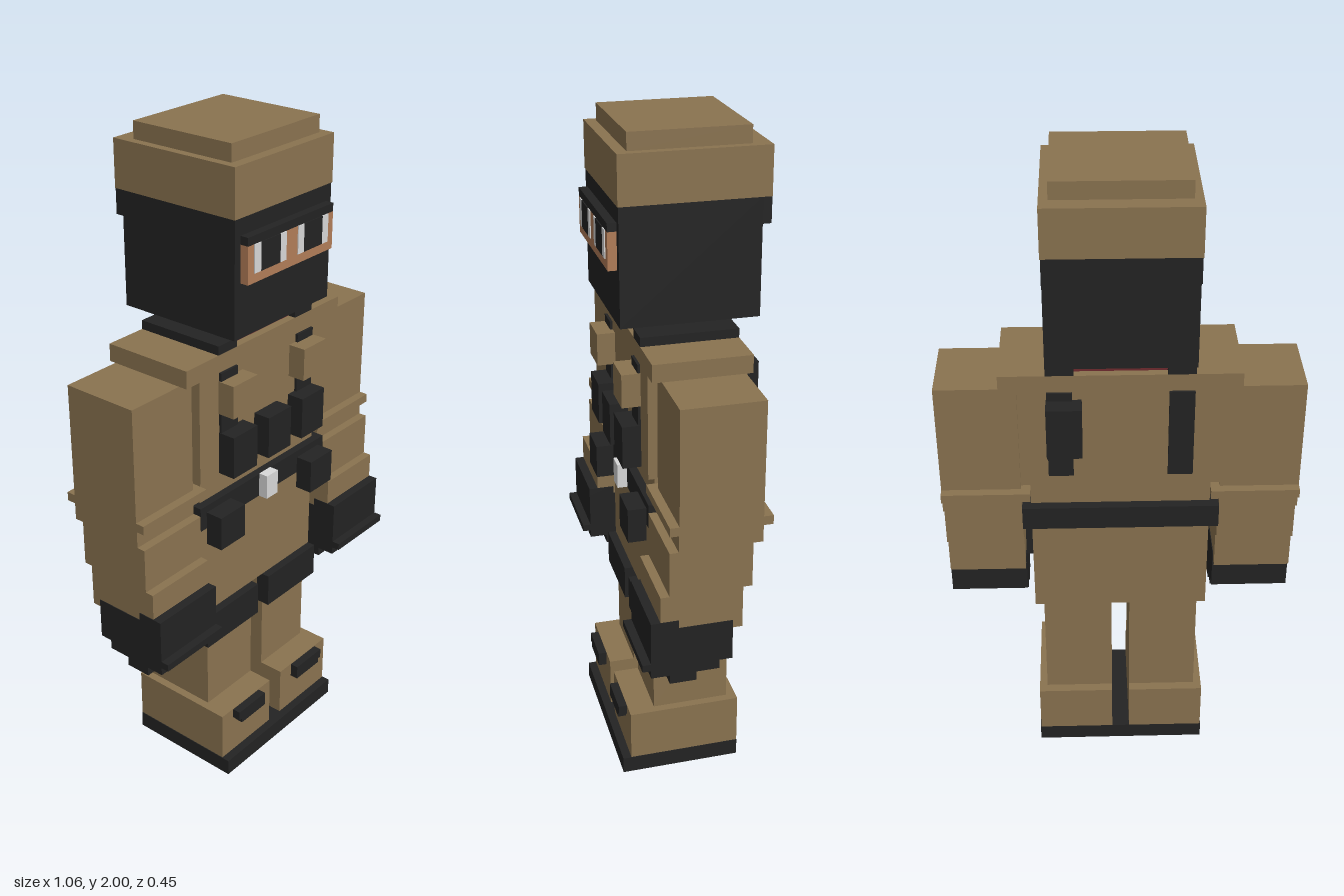
import * as THREE from 'three';

const mat = (name, color) => {
  const m = new THREE.MeshStandardMaterial({ color });
  m.name = name;
  return m;
};

export function createModel() {
  const tan = mat('tan cloth', 0x8a7350);
  const black = mat('black gear', 0x232323);
  const red = mat('red scarf', 0x702b2e);
  const skin = mat('skin', 0xb27d58);
  const white = mat('white', 0xd8d8d8);

  const model = new THREE.Group();
  model.name = 'soldier';
  const section = (name) => {
    const g = new THREE.Group();
    g.name = name;
    model.add(g);
    return g;
  };
  // Box given by its limits on each axis
  const box = (parent, name, material, [x0, x1], [y0, y1], [z0, z1]) => {
    const mesh = new THREE.Mesh(new THREE.BoxGeometry(x1 - x0, y1 - y0, z1 - z0), material);
    mesh.position.set((x0 + x1) / 2, (y0 + y1) / 2, (z0 + z1) / 2);
    mesh.name = name;
    parent.add(mesh);
  };
  // The same box on both sides of the body
  const pair = (parent, name, material, [x0, x1], y, z) => {
    box(parent, name + 'Left', material, [x0, x1], y, z);
    box(parent, name + 'Right', material, [-x1, -x0], y, z);
  };

  // Head, cap and face opening
  const head = section('head');
  box(head, 'balaclava', black, [-0.21, 0.21], [1.47, 1.81], [-0.2, 0.2]);
  box(head, 'cap', tan, [-0.212, 0.212], [1.81, 1.95], [-0.225, 0.202]);
  box(head, 'capTop', tan, [-0.187, 0.187], [1.95, 2], [-0.173, 0.17]);
  box(head, 'neckFlap', black, [-0.21, 0.21], [1.735, 1.81], [-0.225, -0.2]);
  box(head, 'face', skin, [-0.187, 0.187], [1.63, 1.738], [0.2, 0.226]);
  box(head, 'brow', black, [-0.187, 0.187], [1.738, 1.762], [0.2, 0.226]);
  pair(head, 'pupil', black, [0.052, 0.135], [1.657, 1.738], [0.225, 0.229]);
  pair(head, 'eyeInner', white, [0.026, 0.052], [1.657, 1.738], [0.225, 0.229]);
  pair(head, 'eyeOuter', white, [0.135, 0.162], [1.657, 1.738], [0.225, 0.229]);
  box(head, 'scarf', red, [-0.132, 0.132], [1.39, 1.47], [-0.115, 0.12]);

  // Torso and vest
  const torso = section('torso');
  box(torso, 'vest', tan, [-0.293, 0.293], [1.043, 1.36], [-0.14, 0.145]);
  box(torso, 'shoulderYoke', tan, [-0.345, 0.345], [1.36, 1.413], [-0.14, 0.145]);
  box(torso, 'hips', tan, [-0.267, 0.267], [0.565, 1.043], [-0.115, 0.12]);
  pair(torso, 'shoulderStrap', black, [0.132, 0.212], [1.413, 1.44], [-0.14, 0.145]);
  pair(torso, 'frontStrap', black, [0.137, 0.21], [1.17, 1.36], [0.145, 0.153]);
  pair(torso, 'backStrap', black, [0.137, 0.21], [1.08, 1.36], [-0.148, -0.14]);
  pair(torso, 'chestPouch', tan, [0.108, 0.213], [1.235, 1.335], [0.145, 0.2]);
  pair(torso, 'magazine', black, [0.106, 0.212], [1.045, 1.175], [0.145, 0.2]);
  box(torso, 'magazineMiddle', black, [-0.053, 0.051], [1.045, 1.175], [0.145, 0.2]);
  box(torso, 'backRadio', black, [0.11, 0.212], [1.175, 1.335], [-0.2, -0.14]);

  // Belt with buckle, pouches and holster
  const belt = section('belt');
  box(belt, 'beltBand', black, [-0.293, 0.293], [0.885, 0.96], [-0.145, 0.145]);
  box(belt, 'buckle', white, [-0.026, 0.026], [0.885, 0.962], [0.145, 0.175]);
  pair(belt, 'beltPouch', black, [0.16, 0.267], [0.832, 0.938], [0.145, 0.2]);
  box(belt, 'holster', black, [0.267, 0.29], [0.725, 0.885], [-0.06, 0.05]);

  // Arms stepping forward towards the hands
  const arms = section('arms');
  const armX = [0.295, 0.53];
  pair(arms, 'upperArm', tan, armX, [1.015, 1.36], [-0.12, 0.118]);
  pair(arms, 'sleeveCuff', tan, [0.267, 0.53], [0.988, 1.015], [-0.148, 0.145]);
  pair(arms, 'elbow', tan, armX, [0.937, 0.988], [-0.12, 0.12]);
  pair(arms, 'forearm', tan, armX, [0.8, 0.937], [-0.092, 0.146]);
  pair(arms, 'wrist', tan, armX, [0.695, 0.8], [-0.066, 0.172]);
  pair(arms, 'wristHem', tan, armX, [0.67, 0.695], [-0.066, -0.038]);

  // Gloves
  const gloveX = [0.293, 0.532];
  pair(arms, 'glove', black, gloveX, [0.568, 0.695], [-0.038, 0.2]);
  pair(arms, 'gloveBack', black, gloveX, [0.695, 0.72], [0.12, 0.2]);
  pair(arms, 'gloveFingers', black, gloveX, [0.54, 0.568], [0, 0.2]);
  pair(arms, 'fingerTips', black, gloveX, [0.512, 0.54], [0.068, 0.146]);
  pair(arms, 'knuckles', black, gloveX, [0.565, 0.587], [0.2, 0.225]);

  // Legs, knee pads and boots
  const legs = section('legs');
  pair(legs, 'leg', tan, [0.028, 0.24], [0.215, 0.565], [-0.115, 0.12]);
  pair(legs, 'kneePad', black, [0.026, 0.267], [0.457, 0.565], [0.1, 0.146]);
  pair(legs, 'boot', tan, [0.028, 0.265], [0.053, 0.215], [-0.145, 0.2]);
  pair(legs, 'bootLace', black, [0.085, 0.212], [0.182, 0.213], [0.2, 0.226]);
  pair(legs, 'bootLaceLower', black, [0.085, 0.2], [0.167, 0.182], [0.2, 0.226]);
  box(legs, 'sole', black, [-0.267, 0.267], [0, 0.053], [-0.145, 0.226]);

  return model;
}
